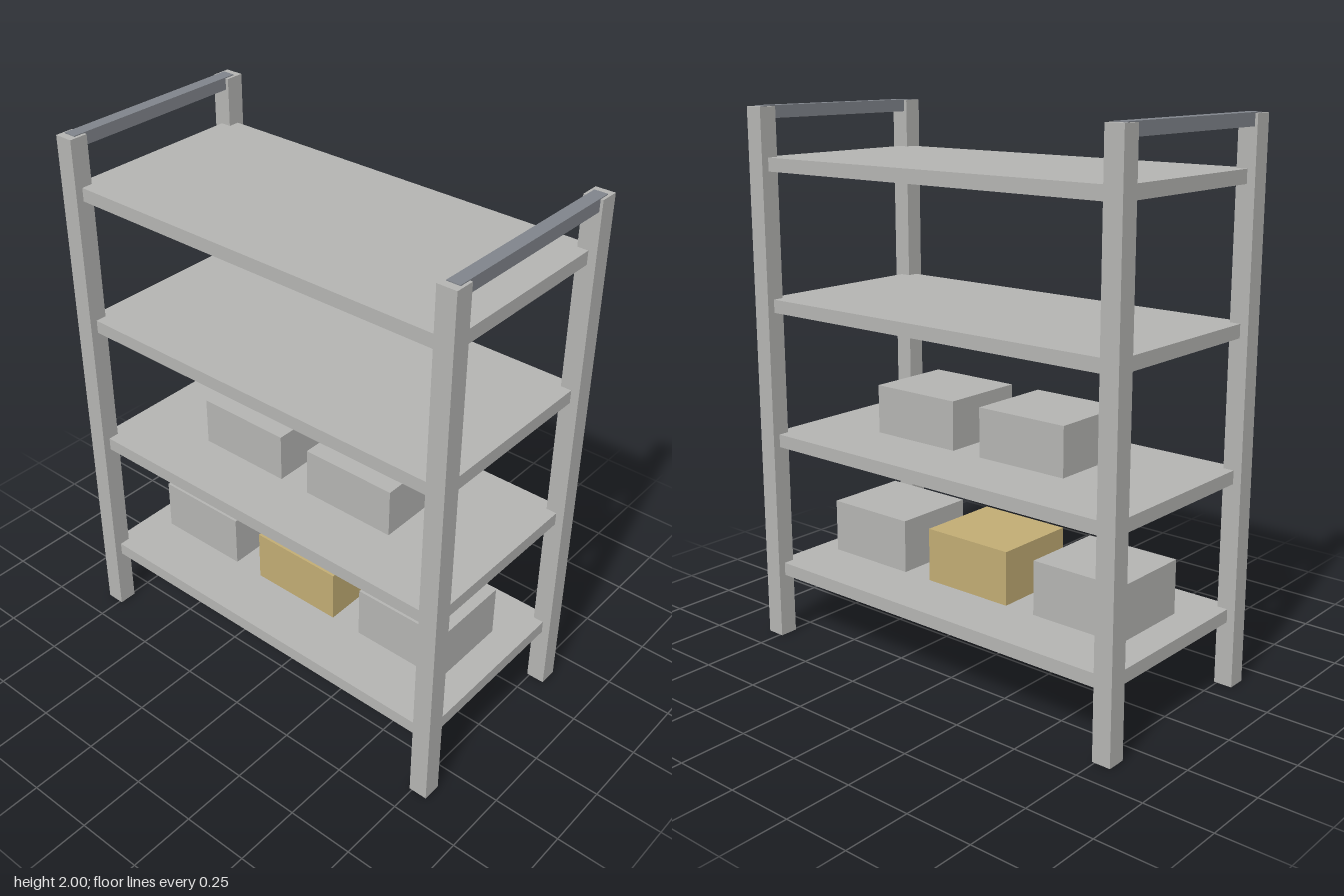
import * as THREE from 'three';

const paint = (name, color) => {
  const m = new THREE.MeshStandardMaterial({ color });
  m.name = name;
  return m;
};

export function createModel() {
  const model = new THREE.Group();
  model.name = 'shelvingRack';
  const lightGrey = paint('lightGrey', 0xb4b4b2);
  const darkGrey = paint('darkGrey', 0x80848b);
  const tan = paint('tan', 0xc1ac74);

  // A box standing on height y, centred on x and z
  const block = (name, material, [w, h, d], [x, y, z]) => {
    const mesh = new THREE.Mesh(new THREE.BoxGeometry(w, h, d), material);
    mesh.name = name;
    mesh.position.set(x, y + h / 2, z);
    model.add(mesh);
  };

  for (const [side, sx] of [['left', 1], ['right', -1]]) {
    // Corner posts
    for (const [end, sz] of [['Front', 1], ['Back', -1]]) {
      block(side + end + 'Post', lightGrey, [0.07, 1.997, 0.07], [sx * 0.775, 0, sz * 0.368]);
    }
    // Top rail joining the two posts, a hair proud of them
    block(side + 'TopRail', darkGrey, [0.048, 0.045, 0.75], [sx * 0.776, 1.955, 0]);
  }

  // Four shelves
  for (let i = 0; i < 4; i++) {
    block('shelf' + (i + 1), lightGrey, [1.56, 0.049, 0.75], [0, 0.241 + i * 0.51, 0]);
  }

  // Storage boxes: three on the lowest shelf, two on the next
  for (const i of [-1, 0, 1]) {
    block('lowerBox' + (i + 2), i === 0 ? tan : lightGrey, [0.366, 0.2, 0.324], [i * 0.488, 0.3, 0]);
  }
  for (const s of [-1, 1]) {
    block(s < 0 ? 'upperBoxRight' : 'upperBoxLeft', lightGrey, [0.366, 0.18, 0.324], [s * 0.244, 0.82, 0]);
  }
  return model;
}
